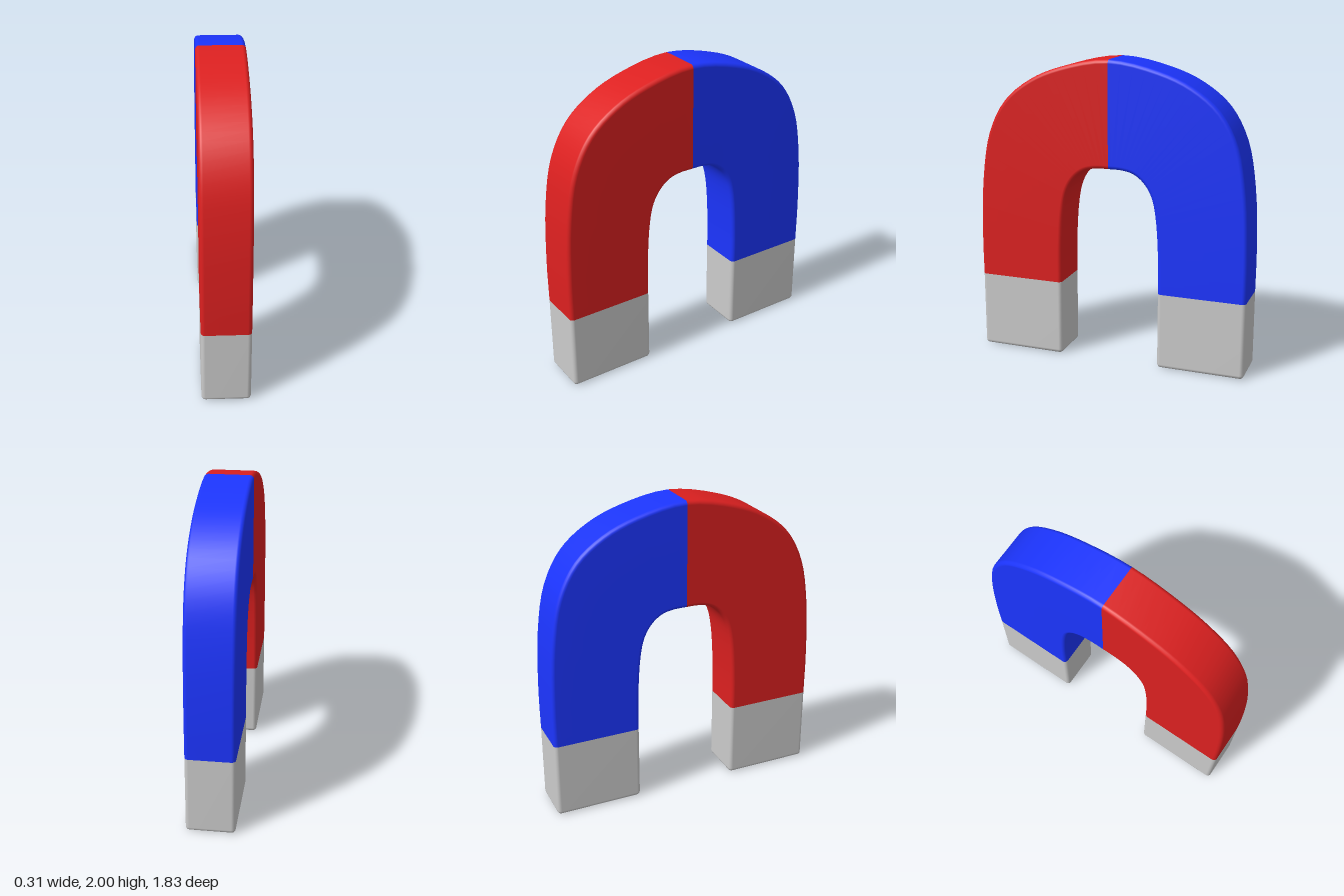
import * as THREE from 'three';

const HALF_WIDTH = 0.155, RADIUS = 0.026, CORNER_STEPS = 4, ARCH_STEPS = 28, TIP_TOP = 0.51;

// Paired outer and inner edge points as [z, y], from below the pole tip up to the crown
const OUTER = [[0.915, 0.25], [0.915, 0.51], [0.915, 0.8], [0.893, 1.2], [0.835, 1.5],
  [0.72, 1.71], [0.545, 1.85], [0.33, 1.94], [0, 2]];
const INNER = [[0.335, 0.25], [0.335, 0.51], [0.333, 0.74], [0.313, 1.02], [0.283, 1.15],
  [0.23, 1.235], [0.163, 1.285], [0.09, 1.303], [0, 1.305]];

// Edge curve mirrored over the crown so that it stays smooth there
function edgeCurve(points) {
  const mirrored = points.slice(0, -1).reverse().map(([z, y]) => [-z, y]);
  return new THREE.CatmullRomCurve3(
    [...points, ...mirrored].map(([z, y]) => new THREE.Vector3(0, y, z)));
}

// Rounded rectangle spanning the inner and outer edge, optionally inset
function section(inner, outer, inset = 0) {
  const across = outer.clone().sub(inner);
  const halfDepth = across.length() / 2 - RADIUS;
  across.normalize();
  const centre = inner.clone().add(outer).multiplyScalar(0.5);
  const r = RADIUS - inset, ring = [];
  const signs = [[1, 1], [-1, 1], [-1, -1], [1, -1]];
  signs.forEach(([sx, sd], q) => {
    for (let k = 0; k <= CORNER_STEPS; k++) {
      const a = (q + k / CORNER_STEPS) * Math.PI / 2;
      const p = centre.clone().addScaledVector(across, sd * halfDepth + r * Math.sin(a));
      p.x = sx * (HALF_WIDTH - RADIUS) + r * Math.cos(a);
      ring.push(p);
    }
  });
  return ring;
}

// Skin a series of equal-sized rings
function loft(rings) {
  const n = rings[0].length, index = [];
  for (let i = 0; i < rings.length - 1; i++) {
    for (let j = 0; j < n; j++) {
      const a = i * n + j, b = i * n + (j + 1) % n;
      index.push(a, a + n, b, b, a + n, b + n);
    }
  }
  const geometry = new THREE.BufferGeometry().setFromPoints(rings.flat());
  geometry.setIndex(index);
  geometry.computeVertexNormals();
  return geometry;
}

// Half of the arch, from the top of the pole tip to the crown
function archGeometry() {
  const outer = edgeCurve(OUTER), inner = edgeCurve(INNER);
  const start = 1 / (2 * (OUTER.length - 1)), rings = [];
  for (let i = 0; i <= ARCH_STEPS; i++) {
    const t = start + (0.5 - start) * i / ARCH_STEPS;
    rings.push(section(inner.getPoint(t), outer.getPoint(t)));
  }
  return loft(rings);
}

// Pole tip with a rounded bottom edge and a closed underside
function tipGeometry() {
  const at = (y, inset) => section(
    new THREE.Vector3(0, y, 0.335), new THREE.Vector3(0, y, 0.915), inset);
  const bottom = at(0, RADIUS);
  const rings = [bottom.map(() => new THREE.Vector3(0, 0, 0.625))];
  for (let k = 0; k <= CORNER_STEPS; k++) {
    const a = k / CORNER_STEPS * Math.PI / 2;
    rings.push(at(RADIUS * (1 - Math.sin(a)), RADIUS * (1 - Math.cos(a))));
  }
  // run from the underside centre outwards, then up the sides
  const bevel = rings.slice(1).reverse();
  return loft([rings[0], ...bevel.map((_, k) => {
    const a = k / CORNER_STEPS * Math.PI / 2;
    return at(RADIUS * (1 - Math.cos(a)), RADIUS * (1 - Math.sin(a)));
  }), at(TIP_TOP, 0)]);
}

export function createModel() {
  const magnet = new THREE.Group();
  magnet.name = 'horseshoeMagnet';
  const arch = archGeometry(), tip = tipGeometry();
  const grey = new THREE.MeshStandardMaterial({ color: 0xcccccc });

  // Front half is red, back half is the same shape turned round in blue
  [['front', 0xdd2020, 0], ['back', 0x1c35ff, Math.PI]].forEach(([side, color, turn]) => {
    const half = new THREE.Group();
    half.name = side + 'Half';
    half.rotation.y = turn;
    const arm = new THREE.Mesh(arch, new THREE.MeshStandardMaterial({ color }));
    arm.name = side + 'Arm';
    const pole = new THREE.Mesh(tip, grey);
    pole.name = side + 'PoleTip';
    half.add(arm, pole);
    magnet.add(half);
  });
  return magnet;
}
